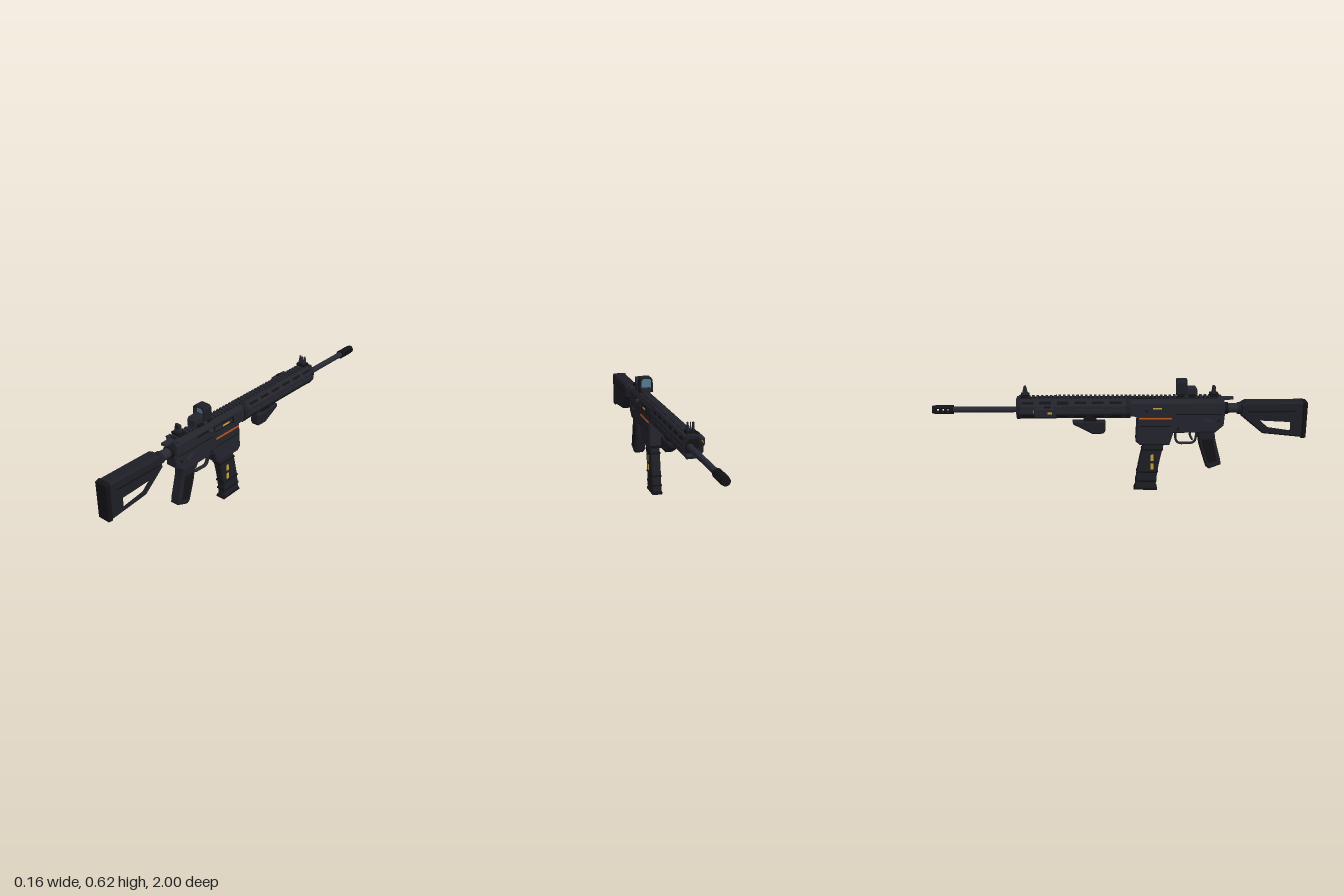
import * as THREE from 'three';

const mat = (name, color) => {
  const m = new THREE.MeshStandardMaterial({ color });
  m.name = name;
  return m;
};

export function createModel() {
  const body = mat('gunmetal', 0x24242e);
  const polymer = mat('darkPolymer', 0x1e1e26);
  const black = mat('black', 0x131317);
  const steel = mat('steel', 0x282833);
  const orange = mat('orange', 0xc8550f);
  const yellow = mat('yellow', 0xc9a23a);
  const glass = mat('glass', 0x557c90);
  glass.side = THREE.DoubleSide;

  const model = new THREE.Group();
  model.name = 'toyRifle';
  const gun = new THREE.Group();
  gun.name = 'rifle';
  gun.position.x = 0.015;
  model.add(gun);

  const add = (name, geo, material, x = 0, y = 0, z = 0) => {
    const m = new THREE.Mesh(geo, material);
    m.name = name;
    m.position.set(x, y, z);
    gun.add(m);
    return m;
  };
  const box = (name, w, h, d, material, x, y, z) => add(name, new THREE.BoxGeometry(w, h, d), material, x, y, z);
  const rod = (name, r, len, material, x, y, z, r2 = r, n = 20) =>
    add(name, new THREE.CylinderGeometry(r, r2, len, n).rotateX(Math.PI / 2), material, x, y, z);
  const path = (pts, T = THREE.Shape) => new T(pts.map(([a, b]) => new THREE.Vector2(a, b)));
  const sides = (fn) => [-1, 1].forEach(fn);

  // Side outline given as [z, y], extruded across x with bevelled edges
  const slab = (name, pts, width, material, b = 0.008, hole = null) => {
    const shape = path(pts.map(([z, y]) => [-z, y]));
    if (hole) shape.holes.push(path(hole.map(([z, y]) => [-z, y]), THREE.Path));
    const geo = new THREE.ExtrudeGeometry(shape, {
      depth: width - 2 * b, bevelEnabled: b > 0, bevelSize: b, bevelThickness: b, bevelOffset: -b, bevelSegments: 1,
    });
    geo.translate(0, 0, b - width / 2).rotateY(Math.PI / 2);
    return add(name, geo, material);
  };
  // Cross-section given as [x, y], extruded from z0 to z1
  const bar = (name, pts, z0, z1, material, hole = null) => {
    const shape = path(pts);
    if (hole) shape.holes.push(path(hole, THREE.Path));
    return add(name, new THREE.ExtrudeGeometry(shape, { depth: z1 - z0, bevelEnabled: false }), material, 0, 0, z0);
  };

  // Stock
  slab('stock', [[0.98, 0.505], [0.67, 0.505], [0.645, 0.49], [0.645, 0.43], [0.765, 0.33], [0.98, 0.307]], 0.078, polymer, 0.01,
    [[0.92, 0.405], [0.735, 0.41], [0.785, 0.358], [0.92, 0.338]]);
  slab('buttPad', [[1, 0.5], [0.975, 0.507], [0.975, 0.302], [1, 0.305]], 0.08, black, 0.006);
  sides((s) => box('stockGroove', 0.004, 0.008, 0.26, black, s * 0.039, 0.455, 0.81));
  rod('bufferTube', 0.026, 0.13, steel, 0, 0.464, 0.605);
  rod('tubeCollar', 0.032, 0.018, black, 0, 0.464, 0.568);
  rod('stockCollar', 0.032, 0.02, polymer, 0, 0.464, 0.638);

  // Receiver
  bar('upperReceiver', [[-0.039, 0.43], [0.039, 0.43], [0.039, 0.5], [0.026, 0.522], [-0.026, 0.522], [-0.039, 0.5]], 0.05, 0.555, body);
  slab('lowerReceiver', [[0.56, 0.445], [0.05, 0.445], [0.05, 0.43], [0.09, 0.425], [0.27, 0.335], [0.51, 0.335], [0.555, 0.375]], 0.078, body);
  slab('magazineWell', [[0.285, 0.43], [0.09, 0.43], [0.083, 0.29], [0.105, 0.268], [0.265, 0.268], [0.285, 0.335]], 0.087, body);
  box('wellLine', 0.089, 0.005, 0.17, black, 0, 0.375, 0.185);
  sides((s) => {
    box('orangeStripe', 0.004, 0.008, 0.175, orange, s * 0.0435, 0.419, 0.188);
    box('receiverMark', 0.004, 0.009, 0.047, yellow, s * 0.0425, 0.474, 0.197);
    box('receiverSeam', 0.003, 0.005, 0.25, black, s * 0.039, 0.44, 0.42);
    const lever = box('selectorLever', 0.008, 0.011, 0.045, steel, s * 0.042, 0.405, 0.47);
    lever.rotation.x = 0.3;
    [[0.525, 0.405], [0.31, 0.36], [0.14, 0.46]].forEach(([z, y]) => {
      const pin = rod('pin', 0.007, 0.005, black, s * 0.041, y, z, 0.007, 12);
      pin.rotation.y = Math.PI / 2;
    });
  });
  box('ejectionPort', 0.006, 0.034, 0.15, black, 0.038, 0.475, 0.21);
  box('portCover', 0.006, 0.022, 0.13, steel, 0.039, 0.475, 0.215);
  box('boltSlot', 0.004, 0.01, 0.1, black, 0.039, 0.488, 0.36);
  rod('boltHandle', 0.007, 0.03, steel, 0.042, 0.488, 0.32).rotation.y = Math.PI / 2;
  add('boltKnob', new THREE.SphereGeometry(0.013, 16, 12), steel, 0.05, 0.488, 0.32);
  box('chargingHandle', 0.03, 0.012, 0.1, steel, 0, 0.52, 0.555);
  box('chargingLatch', 0.085, 0.013, 0.028, steel, 0, 0.52, 0.53);

  // Pistol grip, trigger and guard
  slab('pistolGrip', [[0.507, 0.345], [0.413, 0.345], [0.428, 0.255], [0.465, 0.14], [0.485, 0.125], [0.55, 0.15], [0.545, 0.178], [0.515, 0.29]], 0.066, polymer, 0.01);
  slab('gripPanel', [[0.5, 0.3], [0.438, 0.3], [0.448, 0.245], [0.478, 0.16], [0.528, 0.172]], 0.07, black, 0.003);
  const guard = new THREE.CatmullRomCurve3([[0.34, 0.412], [0.285, 0.408], [0.27, 0.395], [0.267, 0.36], [0.268, 0.318], [0.285, 0.303], [0.34, 0.298]]
    .map(([y, z]) => new THREE.Vector3(0, y, z)));
  add('triggerGuard', new THREE.TubeGeometry(guard, 32, 0.006, 8).scale(2, 1, 1), body);
  const trigger = new THREE.CatmullRomCurve3([[0.345, 0.385], [0.315, 0.378], [0.285, 0.392]].map(([y, z]) => new THREE.Vector3(0, y, z)));
  add('trigger', new THREE.TubeGeometry(trigger, 10, 0.006, 8), steel);

  // Curved magazine, following one bend rule
  const bend = (y) => 0.139 + 0.048 * Math.pow(1 - Math.min(1, (0.29 - y) / 0.28), 1.6);
  const mag = (y0, y1, half) => {
    const back = [], front = [];
    for (let i = 0; i <= 8; i++) {
      const y = y1 + ((y0 - y1) * i) / 8;
      back.push([bend(y) + half, y]);
      front.unshift([bend(y) - half, y]);
    }
    return [...front, ...back];
  };
  slab('magazine', mag(0.008, 0.29, 0.056), 0.052, polymer, 0.005);
  [0.235, 0.108, 0.055].forEach((y) => slab('magazineRib', mag(y - 0.005, y + 0.005, 0.058), 0.056, black, 0.001));
  slab('magazineFloor', [[0.205, 0], [0.203, 0.014], [0.08, 0.02], [0.075, 0.004]], 0.058, black, 0.003);
  sides((s) => [0.191, 0.139].forEach((y) => box('magazineMark', 0.004, 0.034, 0.017, yellow, s * 0.0265, y, 0.174)));

  // Hollow handguard with slots along its sloped faces
  const octagon = (k) => [[-0.03, 0.42], [0.03, 0.42], [0.05, 0.45], [0.05, 0.49], [0.03, 0.525], [-0.03, 0.525], [-0.05, 0.49], [-0.05, 0.45]]
    .map(([x, y]) => [x * k, 0.4715 + (y - 0.4715) * k]);
  bar('handguard', octagon(1), -0.54, 0.045, body, octagon(0.82));
  bar('handguardRearRing', octagon(1.03), 0.03, 0.055, polymer, octagon(0.84));
  bar('handguardFrontRing', octagon(1.03), -0.55, -0.53, polymer, octagon(0.84));
  bar('handguardBulkhead', octagon(0.83), -0.5, -0.49, black);
  sides((s) => {
    for (let i = 0; i < 6; i++) {
      const z = -0.025 - i * 0.093;
      box('upperSlot', 0.006, 0.014, 0.062, black, s * 0.039, 0.507, z).rotation.z = s * 0.52;
      box('lowerSlot', 0.006, 0.014, 0.062, black, s * 0.039, 0.436, z).rotation.z = -s * 0.59;
      box('sideRidge', 0.004, 0.006, 0.066, steel, s * 0.0505, 0.47, z);
    }
  });
  for (let i = 0; i < 6; i++) box('bottomSlot', 0.016, 0.004, 0.062, black, 0, 0.42, -0.025 - i * 0.093);

  // Top rail
  box('topRail', 0.034, 0.012, 1.08, black, 0, 0.522, 0.0);
  for (let i = 0; i < 46; i++) box('railTooth', 0.042, 0.009, 0.013, body, 0, 0.531, 0.525 - i * 0.0235);

  // Barrel and ported muzzle brake
  rod('barrel', 0.016, 0.95, steel, 0, 0.462, -0.425);
  rod('brakeCollar', 0.024, 0.022, black, 0, 0.462, -0.9, 0.02);
  [-0.93, -0.957].forEach((z) => rod('brakeBaffle', 0.024, 0.009, black, 0, 0.462, z));
  rod('brakeTip', 0.023, 0.018, black, 0, 0.462, -0.991, 0.021);
  sides((s) => {
    const arc = new THREE.Shape();
    const a = s * Math.PI / 2;
    arc.absarc(0, 0, 0.0235, a - 0.95, a + 0.95, false);
    arc.absarc(0, 0, 0.012, a + 0.95, a - 0.95, true);
    add('brakeWall', new THREE.ExtrudeGeometry(arc, { depth: 0.09, bevelEnabled: false, curveSegments: 8 }), black, 0, 0.462, -0.985);
  });

  // Reflex sight
  box('sightClamp', 0.08, 0.014, 0.085, black, 0, 0.543, 0.352);
  slab('sightBase', [[0.41, 0.537], [0.3, 0.537], [0.3, 0.56], [0.345, 0.582], [0.4, 0.582], [0.41, 0.57]], 0.054, body, 0.004);
  sides((s) => box('clampScrew', 0.012, 0.014, 0.022, steel, s * 0.037, 0.543, 0.35));
  const hood = (h, t) => [[-h, 0.552 + t], [h, 0.552 + t], [h, 0.612 - t], [h - 0.01, 0.624 - t], [-h + 0.01, 0.624 - t], [-h, 0.612 - t]];
  bar('sightHood', hood(0.036, 0), 0.3, 0.355, polymer, hood(0.029, 0.007));
  add('sightLens', new THREE.PlaneGeometry(0.059, 0.06), glass, 0, 0.588, 0.335);
  add('rearLens', new THREE.PlaneGeometry(0.059, 0.06), glass, 0, 0.588, 0.312);

  // Backup sights
  box('rearSightBase', 0.05, 0.016, 0.045, black, 0, 0.541, 0.5);
  slab('rearSight', [[0.51, 0.545], [0.488, 0.545], [0.493, 0.588], [0.505, 0.588]], 0.034, body, 0.002);
  add('rearAperture', new THREE.TorusGeometry(0.006, 0.003, 8, 16), black, 0, 0.575, 0.507);
  box('frontSightBase', 0.05, 0.014, 0.045, black, 0, 0.54, -0.505);
  sides((s) => {
    const ear = slab('frontSightEar', [[-0.488, 0.54], [-0.522, 0.54], [-0.511, 0.588], [-0.501, 0.588]], 0.007, body, 0.001);
    ear.position.x = s * 0.014;
  });
  add('frontSightPost', new THREE.CylinderGeometry(0.002, 0.004, 0.045, 8), steel, 0, 0.565, -0.505);

  // Angled foregrip
  box('foregripMount', 0.034, 0.03, 0.07, black, 0, 0.405, -0.162);
  slab('foregrip', [[-0.08, 0.397], [-0.255, 0.397], [-0.25, 0.38], [-0.148, 0.326], [-0.09, 0.328], [-0.078, 0.345]], 0.052, polymer, 0.007);

  // Side light module
  const light = slab('lightModule', [[-0.34, 0.484], [-0.345, 0.49], [-0.447, 0.49], [-0.453, 0.484], [-0.453, 0.448], [-0.447, 0.443], [-0.345, 0.443], [-0.34, 0.448]], 0.038, body, 0.005);
  light.position.x = -0.075;
  box('lightMount', 0.014, 0.022, 0.06, black, -0.053, 0.467, -0.395);
  box('lightButton', 0.014, 0.01, 0.03, black, -0.075, 0.493, -0.385);
  rod('lightLens', 0.009, 0.004, yellow, -0.075, 0.467, -0.454);
  box('lightMark', 0.004, 0.008, 0.022, yellow, -0.0935, 0.467, -0.37);

  return model;
}
